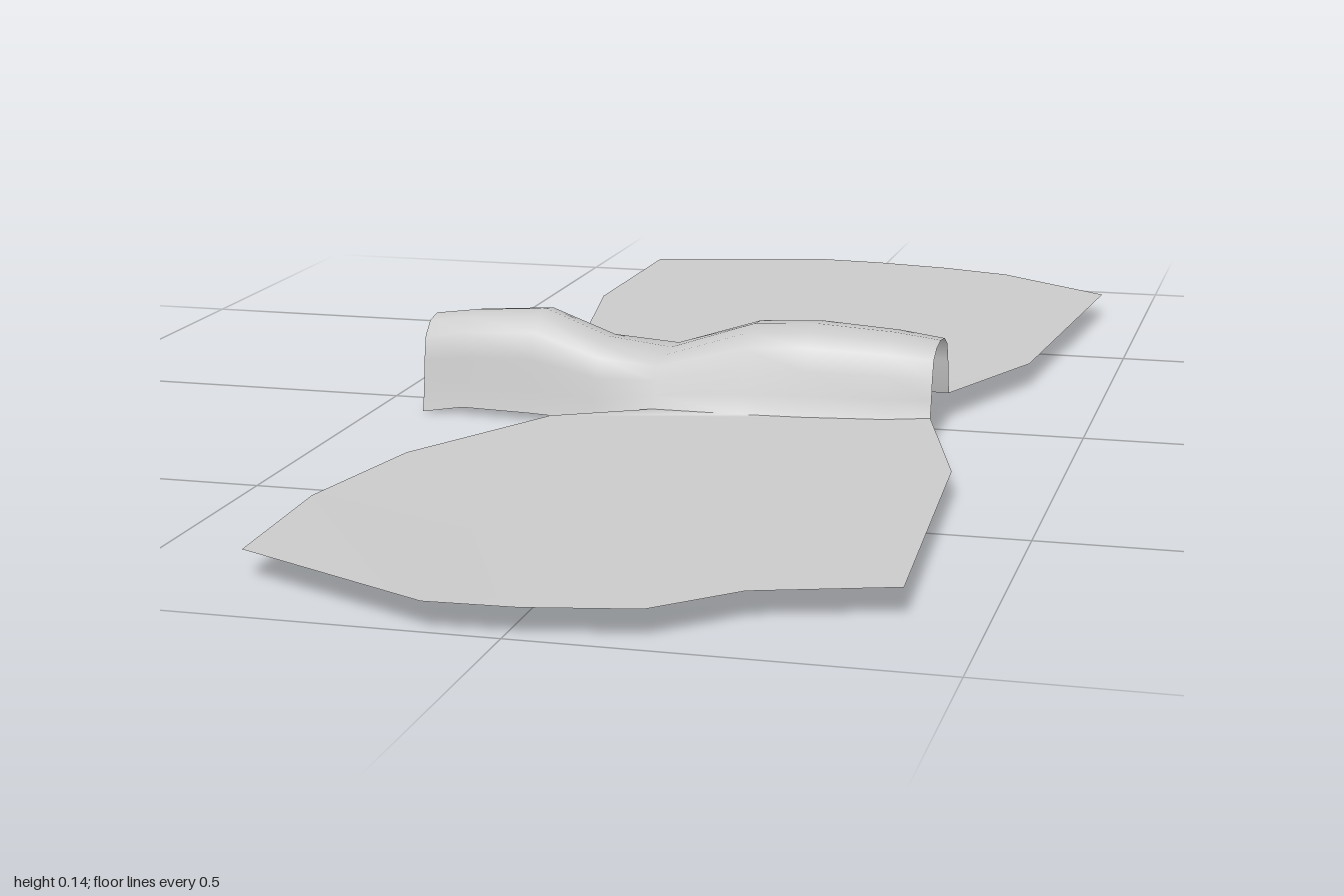
import * as THREE from 'three';

const material = new THREE.MeshStandardMaterial({ color: 0xcccccc, side: THREE.DoubleSide });

// Arched body stations: x, top y, bottom y, front edge z, back edge z
const stations = [
  [-0.43, 0.13, 0.0, 0.078, -0.055],
  [-0.37, 0.138, 0.01, 0.08, -0.057],
  [-0.265, 0.145, 0.01, 0.09, -0.065],
  [-0.17, 0.112, 0.008, 0.1, -0.055],
  [-0.08, 0.1, 0.035, 0.12, -0.085],
  [0.04, 0.14, 0.035, 0.12, -0.085],
  [0.13, 0.145, 0.035, 0.115, -0.08],
  [0.24, 0.138, 0.035, 0.1, -0.07],
  [0.303, 0.13, 0.038, 0.09, -0.06],
];

// Half of the arch: fraction of half width, fraction of height
const half = [[1, 0], [0.9, 0.25], [0.84, 0.55], [0.72, 0.82], [0.42, 0.96]];
const arch = [...half, [0, 1], ...half.map(([w, h]) => [-w, h]).reverse()];

// Open shell lofted through the stations
function bodyGeometry() {
  const positions = [], index = [], n = arch.length;
  stations.forEach(([x, top, bottom, front, back], i) => {
    const mid = (front + back) / 2, width = (front - back) / 2;
    arch.forEach(([w, h], j) => {
      positions.push(x, bottom + (top - bottom) * h, mid + width * w);
      if (i < stations.length - 1 && j < n - 1) {
        const a = i * n + j, b = a + n;
        index.push(a, b, a + 1, b, b + 1, a + 1);
      }
    });
  });
  const geometry = new THREE.BufferGeometry();
  geometry.setAttribute('position', new THREE.Float32BufferAttribute(positions, 3));
  geometry.setIndex(index);
  geometry.computeVertexNormals();
  return geometry;
}

// Flat wing sheet whose inner edge follows the lower edge of the body
function wingGeometry(outline, edge) {
  const root = stations.slice(3).map((s) => [s[0], s[edge], s[2]]);
  const points = [...root, ...outline];
  const shape = new THREE.Shape(points.map(([x, z]) => new THREE.Vector2(x, -z)));
  const geometry = new THREE.ShapeGeometry(shape).rotateX(-Math.PI / 2);
  const position = geometry.attributes.position;
  for (let i = 0; i < position.count; i++) {
    const x = position.getX(i), z = position.getZ(i);
    const match = points.find((p) => Math.hypot(p[0] - x, p[1] - z) < 1e-4);
    position.setY(i, match[2] ?? 0.035);
  }
  geometry.computeVertexNormals();
  return geometry;
}

// Wing outlines, from the +x root corner around the tip: x, z, optional y
const frontOutline = [
  [0.375, 0.34], [0.405, 0.825], [0.24, 0.88], [0.15, 0.968], [0.02, 0.995], [-0.09, 1],
  [-0.355, 0.87], [-0.365, 0.64], [-0.325, 0.42], [-0.22, 0.14, 0.022],
];
const backOutline = [
  [0.385, -0.28], [0.43, -0.81], [0.25, -0.94], [0.14, -0.973], [0.02, -0.993], [-0.09, -1],
  [-0.36, -0.93], [-0.365, -0.6], [-0.325, -0.39], [-0.22, -0.11, 0.022],
];

export function createModel() {
  const group = new THREE.Group();
  const add = (name, geometry) => {
    const mesh = new THREE.Mesh(geometry, material);
    mesh.name = name;
    group.add(mesh);
  };
  add('body', bodyGeometry());
  add('frontWing', wingGeometry(frontOutline, 3));
  add('backWing', wingGeometry(backOutline, 4));
  return group;
}
